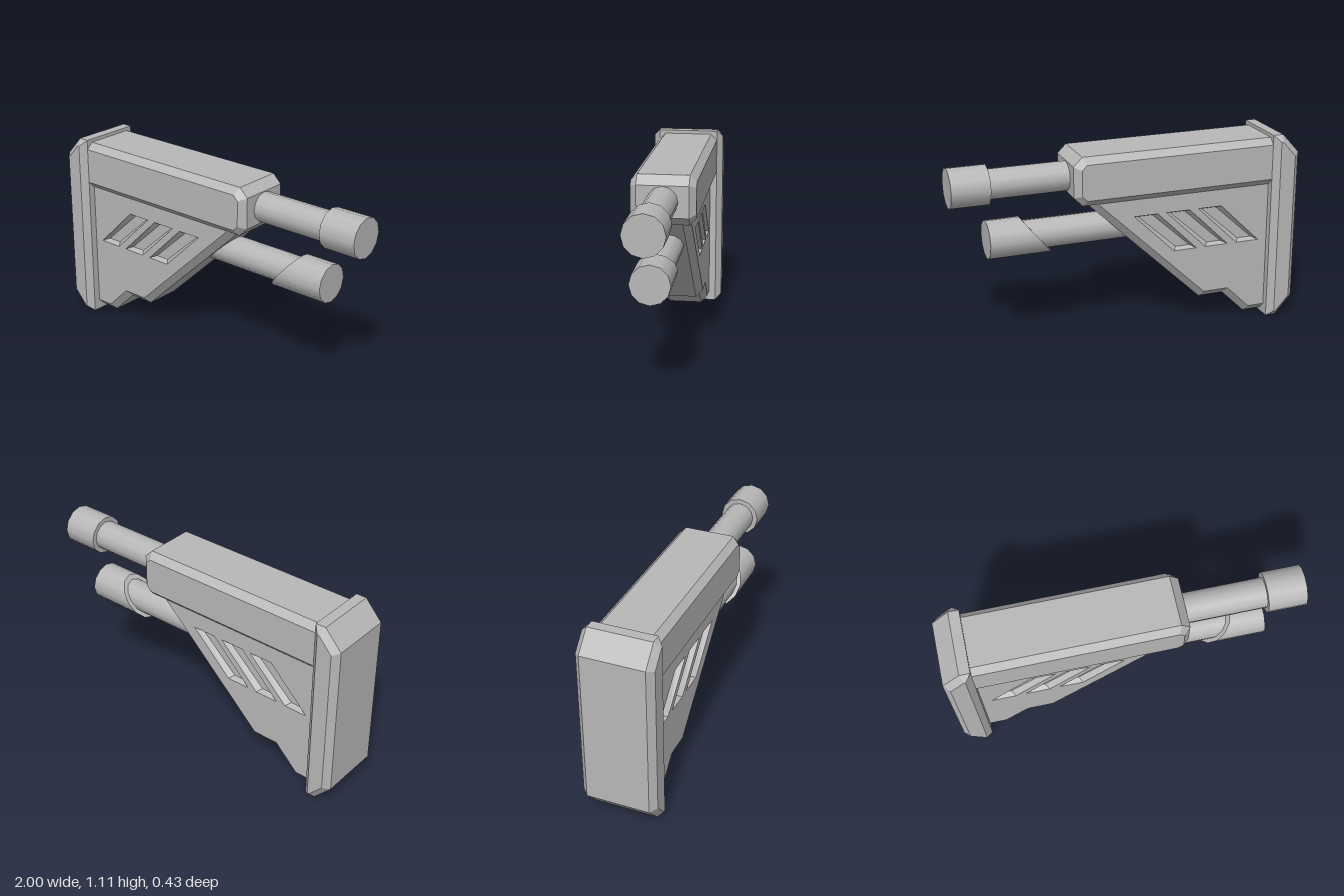
import * as THREE from 'three';
import { mergeGeometries } from 'three/addons/utils/BufferGeometryUtils.js';

const grey = new THREE.MeshStandardMaterial({ color: 0xb8b8b8 });
grey.name = 'plainGrey';

const toShape = (pts) => new THREE.Shape(pts.map(([x, y]) => new THREE.Vector2(x, y)));

function part(name, geometry) {
  const mesh = new THREE.Mesh(geometry, grey);
  mesh.name = name;
  return mesh;
}

// Outline extruded to +-halfZ, with a 45 degree chamfer around both faces
function chamfered(pts, halfZ, bevel) {
  const depth = 2 * (halfZ - bevel);
  return new THREE.ExtrudeGeometry(toShape(pts), {
    depth, bevelEnabled: true, bevelSegments: 1,
    bevelSize: bevel, bevelThickness: bevel, bevelOffset: -bevel,
  }).translate(0, 0, -depth / 2);
}

// Flat-shaded wall between two counter-clockwise loops at different z
function wall(a, za, b, zb) {
  const pos = [];
  a.forEach((p, i) => {
    const j = (i + 1) % a.length;
    const p0 = [...p, za], p1 = [...a[j], za], q0 = [...b[i], zb], q1 = [...b[j], zb];
    pos.push(...p0, ...p1, ...q1, ...p0, ...q1, ...q0);
  });
  const g = new THREE.BufferGeometry();
  g.setAttribute('position', new THREE.Float32BufferAttribute(pos, 3));
  return g;
}

function face(pts, z, holes = []) {
  const shape = toShape(pts);
  holes.forEach((h) => shape.holes.push(toShape(h)));
  const g = new THREE.ShapeGeometry(shape).toNonIndexed().translate(0, 0, z);
  g.deleteAttribute('uv');
  g.deleteAttribute('normal');
  return g;
}

// Mirror across z, reversing the corner order so faces stay outward
function mirrorZ(g) {
  const p = g.getAttribute('position'), pos = [];
  for (let i = 0; i < p.count; i += 3) {
    for (const k of [i, i + 2, i + 1]) pos.push(p.getX(k), p.getY(k), -p.getZ(k));
  }
  const m = new THREE.BufferGeometry();
  m.setAttribute('position', new THREE.Float32BufferAttribute(pos, 3));
  return m;
}

// Triangular lower body with three slanted, sunken slots on each side
function lowerBodyGeometry() {
  const outer = [[-0.9, 0.02], [-0.725, 0.02], [-0.585, 0.157], [-0.433, 0.157], [0.305, 0.86], [-0.9, 0.86]];
  const inner = [[-0.87, 0.06], [-0.741, 0.06], [-0.601, 0.197], [-0.449, 0.197], [0.227, 0.84], [-0.87, 0.84]];
  const slots = [], floors = [];
  for (let i = 0; i < 3; i++) {
    const move = ([x, y]) => [x + i * 0.195, y];
    slots.push([[-0.786, 0.477], [-0.647, 0.477], [-0.403, 0.713], [-0.545, 0.713]].map(move));
    floors.push([[-0.752, 0.491], [-0.668, 0.491], [-0.437, 0.7], [-0.524, 0.7]].map(move));
  }
  const side = [wall(outer, 0, outer, 0.1), wall(outer, 0.1, inner, 0.14), face(inner, 0.14, slots)];
  slots.forEach((s, i) => side.push(wall(s, 0.14, floors[i], 0.11), face(floors[i], 0.11)));
  const half = mergeGeometries(side);
  const g = mergeGeometries([half, mirrorZ(half)]);
  g.computeVertexNormals();
  return g;
}

// Twelve-sided rod along x
function rod(x0, x1, y, r) {
  return new THREE.CylinderGeometry(r, r, x1 - x0, 12)
    .rotateZ(-Math.PI / 2).translate((x0 + x1) / 2, y, 0);
}

// Slant the rear end of a rod
function slantRear(g, x0, y, slope) {
  const p = g.getAttribute('position'), n = g.getAttribute('normal');
  const len = Math.hypot(1, slope);
  for (let i = 0; i < p.count; i++) {
    if (Math.abs(p.getX(i) - x0) < 1e-4) p.setX(i, x0 + (p.getY(i) - y) * slope);
    if (n.getX(i) < -0.9) n.setXYZ(i, -1 / len, slope / len, 0);
  }
  return g;
}

export function createModel() {
  const group = new THREE.Group();
  group.name = 'shoulderStock';

  // Rear pad and upper housing
  group.add(part('buttPlate', chamfered(
    [[-1, 0.11], [-0.9, 0], [-0.84, 0], [-0.84, 1.11], [-0.9, 1.11], [-1, 1]], 0.215, 0.035)));
  group.add(part('upperHousing', chamfered(
    [[-0.9, 0.813], [0.288, 0.813], [0.338, 0.863], [0.338, 1.04], [0.288, 1.09], [-0.9, 1.09]], 0.18, 0.037)));

  group.add(part('lowerBody', lowerBodyGeometry()));

  // Upper and lower rods with their thicker ends
  group.add(part('upperRod', rod(0.2, 0.9, 0.952, 0.085)));
  group.add(part('upperRodEnd', rod(0.785, 1, 0.952, 0.1125)));
  group.add(part('lowerRod', rod(-0.15, 0.72, 0.636, 0.085)));
  group.add(part('lowerRodEnd', slantRear(rod(0.522, 0.8, 0.636, 0.109), 0.522, 0.636, 0.82)));
  return group;
}
